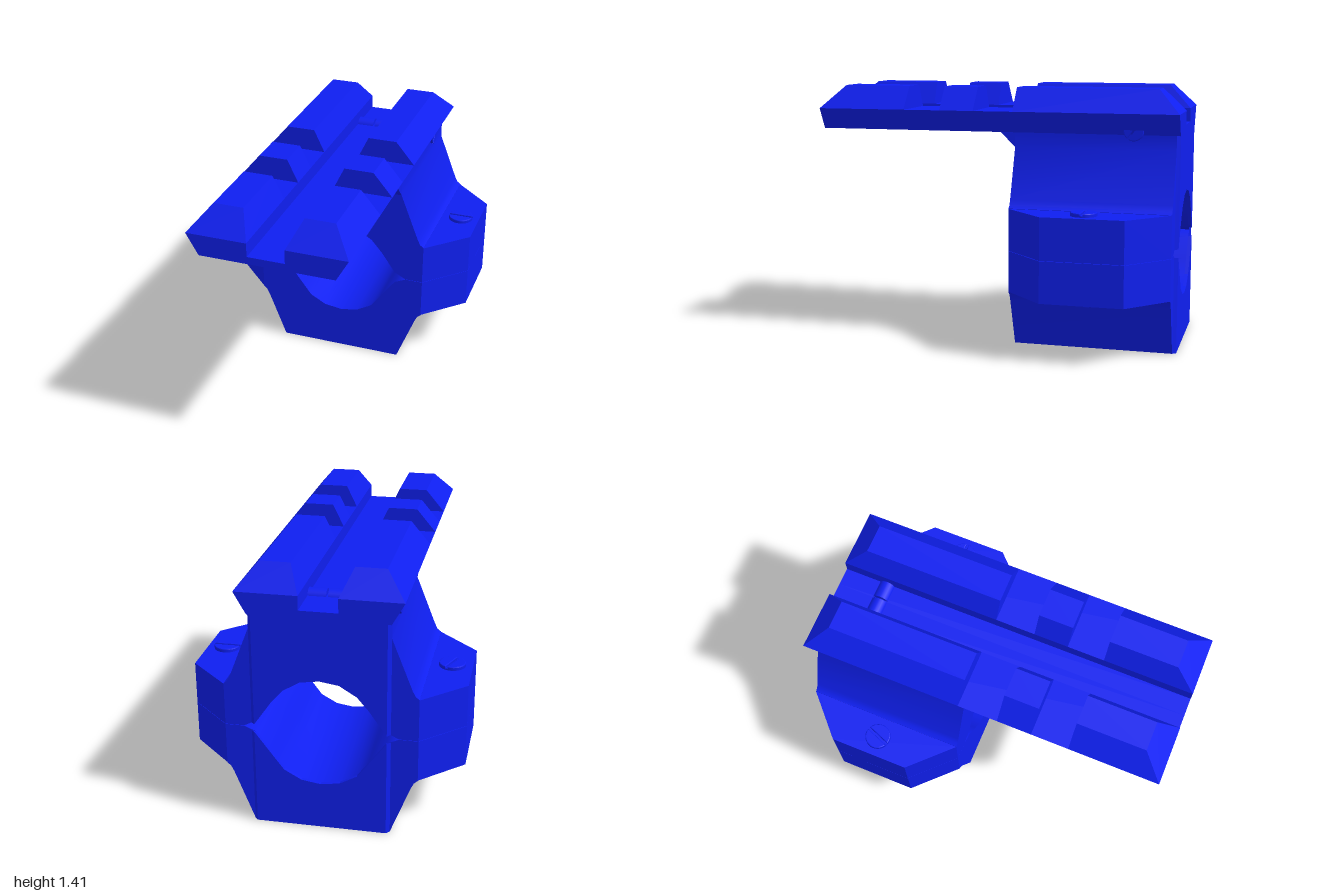
import * as THREE from 'three';
import { toCreasedNormals } from 'three/addons/utils/BufferGeometryUtils.js';

const SPLIT = 0.545, GAP = 0.001, FRONT = -0.11, BACK = -0.98;
const material = new THREE.MeshStandardMaterial({ color: 0x0f1ff0 });

function add(parent, name, geometry) {
  const mesh = new THREE.Mesh(geometry, material);
  mesh.name = name;
  parent.add(mesh);
  return mesh;
}

function extrude(points, depth, z = 0) {
  const shape = new THREE.Shape(points.map(([x, y]) => new THREE.Vector2(x, y)));
  return new THREE.ExtrudeGeometry(shape, { depth, bevelEnabled: false }).translate(0, 0, z);
}

// Closes a right-hand outline by mirroring it in x, skipping points on the axis
function mirrored(points) {
  return [...points, ...points.filter((p) => p[0] > 0).reverse().map(([x, y]) => [-x, y])];
}

// Box whose top rectangle differs from its bottom one; side = +1 or -1 in x
function frustum(side, bottom, top, y0, y1) {
  const g = new THREE.BoxGeometry(1, 1, 1).toNonIndexed();
  const p = g.attributes.position;
  for (let i = 0; i < p.count; i++) {
    const up = p.getY(i) > 0;
    const [inner, outer, za, zb] = up ? top : bottom;
    p.setXYZ(i, side * (p.getX(i) * side > 0 ? outer : inner), up ? y1 : y0, p.getZ(i) > 0 ? zb : za);
  }
  g.computeVertexNormals();
  return g;
}

// Slotted screw head facing +z, standing on z = 0
function screwHead(name, radius, height, slotAngle) {
  const head = new THREE.Group();
  head.name = name;
  add(head, name + 'Base', new THREE.CylinderGeometry(radius, radius, height * 0.4, 32)
    .rotateX(Math.PI / 2).translate(0, 0, height * 0.2));
  const a = Math.asin(0.17), bevel = 0.005;
  for (const turn of [0, Math.PI]) {
    const half = new THREE.Shape();
    half.absarc(0, 0, radius - bevel, a, Math.PI - a, false);
    add(head, name + 'Half', new THREE.ExtrudeGeometry(half, {
      depth: height - bevel, bevelThickness: bevel, bevelSize: bevel, bevelSegments: 2, curveSegments: 20,
    }).rotateZ(turn + slotAngle));
  }
  return head;
}

function createClamp() {
  const clamp = new THREE.Group();
  clamp.name = 'ringClamp';
  const boreLow = [[0.335, 0.515], [0.25, 0.4], [0.19, 0.32], [0.1, 0.27], [0, 0.255]];
  const boreHigh = [[0, 0.84], [0.1, 0.825], [0.19, 0.77], [0.25, 0.7], [0.335, 0.58]];
  const low = SPLIT - GAP, high = SPLIT + GAP;

  // Each half: outline from the bore, out over the shoulder, to the flat end
  const lower = mirrored([[0, 0], [0.36, 0], [0.465, 0.27], [0.48, 0.3], [0.5, 0.318],
    [0.5, low], [0.4, low], ...boreLow]);
  const upper = mirrored([...boreHigh, [0.4, high], [0.5, high], [0.5, 0.775],
    [0.48, 0.79], [0.465, 0.82], [0.36, 1.09], [0.36, 1.17], [0, 1.17]]);
  add(clamp, 'lowerHalf', toCreasedNormals(extrude(lower, FRONT - BACK, BACK), 0.6));
  add(clamp, 'upperHalf', toCreasedNormals(extrude(upper, FRONT - BACK, BACK), 0.6));

  // Raised back face with bevelled sides
  const pads = {
    lowerBackPad: mirrored([[0, 0], [0.36, 0], [0.36, 0.523], ...boreLow]),
    upperBackPad: mirrored([...boreHigh, [0.36, 0.567], [0.36, 1.17], [0, 1.17]]),
  };
  for (const [name, outline] of Object.entries(pads)) {
    const g = extrude(outline, 0.02, -1);
    const p = g.attributes.position;
    for (let i = 0; i < p.count; i++) {
      if (p.getZ(i) < -0.99 && Math.abs(p.getX(i)) > 0.35) p.setX(i, Math.sign(p.getX(i)) * 0.342);
    }
    g.computeVertexNormals();
    add(clamp, name, g);
  }

  // Clamping ears with cut corners, bolts through them
  for (const s of [1, -1]) {
    const plan = [[0.47, 0.975], [0.5, 0.98], [0.72, 0.77], [0.72, 0.33], [0.5, 0.11], [0.47, 0.115]]
      .map(([x, z]) => [s * x, z]);
    for (const [name, y0, y1] of [['lowerEar', 0.32, low], ['upperEar', high, 0.773]]) {
      add(clamp, name, extrude(plan, y1 - y0).rotateX(-Math.PI / 2).translate(0, y0, 0));
    }
    const bolt = screwHead('boltHead', 0.07, 0.02, s > 0 ? 0 : 1.2);
    bolt.rotation.x = -Math.PI / 2;
    bolt.position.set(s * 0.612, 0.773, -0.54);
    clamp.add(bolt);
    add(clamp, 'boltNut', new THREE.CylinderGeometry(0.07, 0.064, 0.016, 32).translate(s * 0.612, 0.312, -0.54));
  }

  // Sloped support under the overhanging rail
  add(clamp, 'gusset', extrude([[0.11, 1.09], [0.11, 1.17], [0.03, 1.17]], 0.72)
    .rotateY(Math.PI / 2).translate(-0.36, 0, 0));
  return clamp;
}

function createRail() {
  const rail = new THREE.Group();
  rail.name = 'accessoryRail';
  const y0 = 1.285, y1 = 1.41;

  // Dovetail base with a central channel
  add(rail, 'railBase', extrude(mirrored([[0, 1.17], [0.36, 1.17], [0.425, y0], [0.1, y0], [0.1, 1.21], [0, 1.21]]), 2, -1));

  // Teeth: [bottom back, bottom front, top back, top front]
  const teeth = [[0.505, 1, 0.505, 0.88], [0.11, 0.3, 0.11, 0.3], [-1, -0.11, -0.88, -0.11]];
  for (const s of [1, -1]) {
    for (const [a, b, c, d] of teeth) {
      add(rail, 'railTooth', frustum(s, [0.1, 0.425, a, b], [0.16, 0.32, c, d], y0, y1));
    }
    // Cross screw: shank crossing the channel and slotted head on the side
    add(rail, 'crossScrewShank', new THREE.CylinderGeometry(0.046, 0.046, 0.35, 24)
      .rotateZ(Math.PI / 2).translate(s * 0.18, 1.193, -0.755));
    const head = screwHead('crossScrewHead', 0.055, 0.022, s * 0.95);
    head.rotation.y = s * Math.PI / 2;
    head.position.set(s * 0.353, 1.193, -0.755);
    rail.add(head);
  }
  return rail;
}

export function createModel() {
  const model = new THREE.Group();
  model.name = 'railMount';
  model.add(createClamp(), createRail());
  return model;
}
